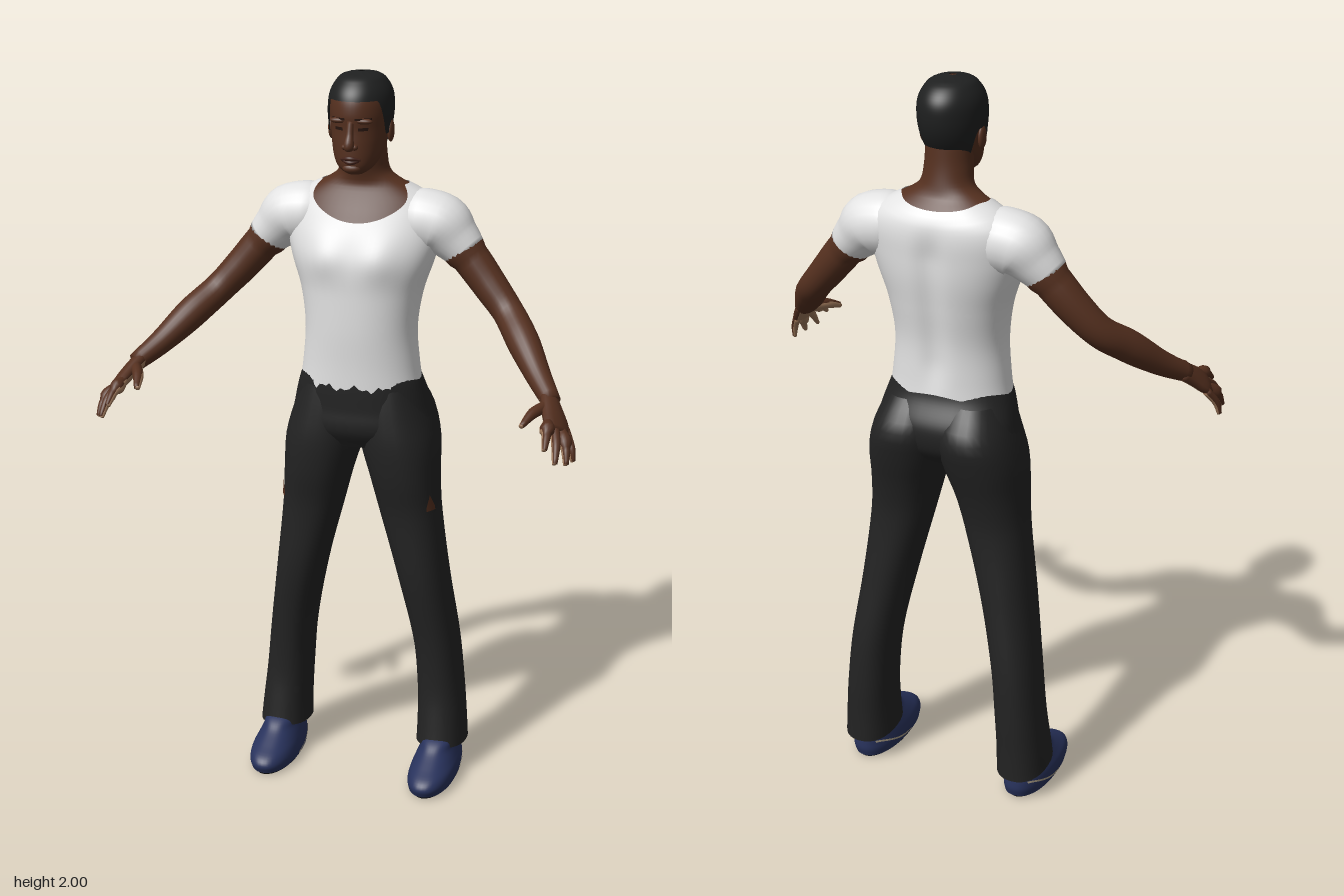
import * as THREE from 'three';

const mat = (name, color, side = THREE.FrontSide) => {
  const m = new THREE.MeshStandardMaterial({ color, side });
  m.name = name;
  return m;
};
const rad = THREE.MathUtils.degToRad;
const smooth = THREE.MathUtils.smoothstep;

// Smooth value of column k in rows sorted by height
function sample(rows, y, k) {
  const n = rows.length - 1;
  let i = 0;
  while (i < n - 1 && y > rows[i + 1][0]) i++;
  const slope = (j) => {
    const a = rows[Math.max(0, j - 1)], b = rows[Math.min(n, j + 1)];
    return (b[k] - a[k]) / (b[0] - a[0]);
  };
  const [p, q] = [rows[i], rows[i + 1]], h = q[0] - p[0];
  const t = Math.min(1, Math.max(0, (y - p[0]) / h)), t2 = t * t, t3 = t2 * t;
  return (2 * t3 - 3 * t2 + 1) * p[k] + (t3 - 2 * t2 + t) * h * slope(i)
    + (3 * t2 - 2 * t3) * q[k] + (t3 - t2) * h * slope(i + 1);
}

function grid(points, rowsN, cols, wrap) {
  const index = [], at = (i, j) => i * cols + (j % cols);
  for (let i = 0; i < rowsN - 1; i++)
    for (let j = 0; j < (wrap ? cols : cols - 1); j++)
      index.push(at(i, j), at(i, j + 1), at(i + 1, j + 1), at(i, j), at(i + 1, j + 1), at(i + 1, j));
  const g = new THREE.BufferGeometry();
  g.setAttribute('position', new THREE.Float32BufferAttribute(points, 3));
  g.setIndex(index);
  g.computeVertexNormals();
  return g;
}

// Upright body surface from rows [y, x0, x1, zFront, zBack]; angle 0 is the front, 90 the left side.
// bottom and top may vary with the angle; from/to cut out a patch.
function skin(rows, bottom, top, { off = 0, from = -180, to = 180, cols = 48, steps = 26, pow = 1, bump } = {}) {
  const pts = [], wrap = to - from === 360, val = (f, a) => (typeof f === 'function' ? f(a) : f);
  const bend = (v) => Math.sign(v) * Math.abs(v) ** pow;
  for (let i = 0; i <= steps; i++)
    for (let j = 0; j < cols; j++) {
      const a = from + (to - from) * j / (wrap ? cols : cols - 1);
      const y = THREE.MathUtils.lerp(val(bottom, a), val(top, a), i / steps);
      const [x0, x1, zf, zb] = [1, 2, 3, 4].map((k) => sample(rows, y, k));
      const x = (x0 + x1) / 2 + ((x1 - x0) / 2 + off) * bend(Math.sin(rad(a)));
      const z = (zf + zb) / 2 + ((zf - zb) / 2 + off) * bend(Math.cos(rad(a)));
      pts.push(x, y, z + (bump ? bump(x, y, a) : 0));
    }
  return grid(pts, steps + 1, cols, wrap);
}

// Limb through points [x, y, z, width, thickness]; up gives the thickness direction
function limb(path, up = [0, 1, 0.3], steps = 16, cols = 16) {
  const curve = new THREE.CatmullRomCurve3(path.map((p) => new THREE.Vector3(...p.slice(0, 3))));
  const size = new THREE.CatmullRomCurve3(path.map((p) => new THREE.Vector3(p[3], p[4] ?? p[3], 0)));
  const pts = [], U = new THREE.Vector3(...up);
  for (let i = -1; i <= steps + 1; i++) {
    const t = Math.min(1, Math.max(0, i / steps)), c = curve.getPoint(t), s = size.getPoint(t);
    if (i < 0 || i > steps) s.set(0, 0, 0);
    const T = curve.getTangent(t), S = U.clone().cross(T).normalize(), N = T.clone().cross(S);
    for (let j = 0; j < cols; j++) {
      const a = j / cols * Math.PI * 2;
      const p = c.clone().addScaledVector(S, Math.cos(a) * s.x).addScaledVector(N, Math.sin(a) * s.y);
      pts.push(p.x, p.y, p.z);
    }
  }
  return grid(pts, steps + 3, cols, true);
}

function ball(r, x, y, z, sx, sy, sz) {
  return new THREE.SphereGeometry(r, 16, 12).scale(sx, sy, sz).translate(x, y, z);
}

function mirrored(g) {
  const m = g.clone().applyMatrix4(new THREE.Matrix4().makeScale(-1, 1, 1));
  const a = m.index.array;
  for (let i = 0; i < a.length; i += 3) [a[i], a[i + 1]] = [a[i + 1], a[i]];
  return m;
}

const sym = (rows) => rows.map(([y, x, zf, zb]) => [y, -x, x, zf, zb]);

export function createModel() {
  const model = new THREE.Group();
  model.name = 'standingMan';
  const brown = mat('skin', 0x55301f), palm = mat('palmSkin', 0xa07a5c);
  const white = mat('shirtWhite', 0xe2e2e2, THREE.DoubleSide), black = mat('trouserBlack', 0x232323, THREE.DoubleSide);
  const hairMat = mat('hairBlack', 0x1f2020, THREE.DoubleSide), blue = mat('shoeBlue', 0x28325c);
  const soleMat = mat('soleBlack', 0x121212), beige = mat('trimBeige', 0xa89c86, THREE.DoubleSide);
  const dark = mat('featureDark', 0x26150f, THREE.DoubleSide), lip = mat('lipBrown', 0x432219, THREE.DoubleSide);
  const add = (name, g, m) => {
    const mesh = new THREE.Mesh(g, m);
    mesh.name = name;
    model.add(mesh);
  };
  const pair = (name, g, m) => {
    add(name + 'Left', g, m);
    add(name + 'Right', mirrored(g), m);
  };

  // Torso, neck and shirt share one profile
  const torso = sym([
    [1.14, 0.167, 0, -0.225], [1.22, 0.155, 0, -0.221], [1.32, 0.148, 0.003, -0.222], [1.42, 0.162, 0.002, -0.236],
    [1.5, 0.188, 0, -0.247], [1.56, 0.203, -0.018, -0.25], [1.62, 0.205, -0.046, -0.25], [1.66, 0.185, -0.066, -0.24],
    [1.69, 0.14, -0.08, -0.217], [1.705, 0.11, -0.085, -0.204], [1.73, 0.073, -0.08, -0.195],
    [1.78, 0.063, -0.065, -0.185], [1.84, 0.062, -0.06, -0.18]]);
  const muscle = (x, y, a) => {
    const front = Math.max(0, Math.cos(rad(a))), back = Math.max(0, -Math.cos(rad(a)));
    const pec = Math.exp(-(((Math.abs(x) - 0.08) / 0.05) ** 2) - ((y - 1.52) / 0.05) ** 2);
    const spine = Math.exp(-((x / 0.035) ** 2)) * smooth(y, 1.16, 1.28) * (1 - smooth(y, 1.55, 1.66));
    return front * pec * 0.012 + back * spine * 0.014;
  };
  const neckline = (a) => {
    const b = Math.abs(a);
    return 1.61 + 0.093 * smooth(b, 0, 75) - 0.02 * smooth(b, 110, 180);
  };
  const hem = (a) => {
    const b = Math.abs(a), ragged = b < 110 ? 0.012 * Math.sin(a * 0.41) * Math.sin(a * 0.17 + 1) : 0;
    return 1.166 + ragged + 0.02 * smooth(b, 120, 180);
  };
  add('neckAndChest', skin(torso, 1.56, 1.83, { bump: muscle }), brown);
  add('shirt', skin(torso, hem, neckline, { off: 0.005, cols: 96, steps: 36, bump: muscle, pow: 0.93 }), white);

  // Sleeves, arms and hands
  pair('sleeve', limb([[0.11, 1.605, -0.145, 0.07], [0.16, 1.605, -0.145, 0.085], [0.21, 1.595, -0.145, 0.083],
    [0.25, 1.56, -0.143, 0.066], [0.282, 1.528, -0.14, 0.054]], [0, 0, 1], 18, 24), white);
  pair('arm', limb([[0.23, 1.58, -0.143, 0.05], [0.29, 1.515, -0.139, 0.05], [0.35, 1.445, -0.125, 0.046],
    [0.405, 1.385, -0.1, 0.042], [0.455, 1.335, -0.04, 0.043], [0.52, 1.265, 0.045, 0.033],
    [0.568, 1.222, 0.11, 0.025]], [0.5, 0.7, 0], 30, 20), brown);
  const up = [0.7, 0.68, 0.14];
  const handParts = {
    hand: [[0.556, 1.233, 0.09, 0.025, 0.02], [0.575, 1.208, 0.13, 0.036, 0.019], [0.592, 1.184, 0.162, 0.043, 0.017],
      [0.602, 1.17, 0.183, 0.036, 0.011]],
    indexFinger: [[0.575, 1.195, 0.18, 0.011], [0.583, 1.178, 0.23, 0.011], [0.587, 1.15, 0.27, 0.006]],
    middleFinger: [[0.59, 1.182, 0.172, 0.012], [0.606, 1.15, 0.222, 0.011], [0.612, 1.112, 0.258, 0.006]],
    ringFinger: [[0.604, 1.172, 0.16, 0.011], [0.627, 1.135, 0.202, 0.011], [0.634, 1.1, 0.224, 0.006]],
    littleFinger: [[0.614, 1.165, 0.145, 0.01], [0.636, 1.125, 0.17, 0.009], [0.643, 1.093, 0.178, 0.005]],
    thumb: [[0.562, 1.218, 0.13, 0.016], [0.535, 1.21, 0.18, 0.014], [0.519, 1.192, 0.228, 0.007]],
  };
  for (const [name, path] of Object.entries(handParts)) {
    pair(name, limb(path, up, 10, 12), brown);
    const under = path.map(([x, y, z, w, t = w]) =>
      [x - up[0] * 0.004, y - up[1] * 0.004, z - up[2] * 0.004, w * 0.92, t * 0.92]);
    pair(name + 'Underside', limb(under, up, 10, 12), palm);
  }

  // Trousers: hips plus two flared legs
  const hips = sym([[0.99, 0.17, -0.03, -0.22], [1.04, 0.195, 0, -0.255], [1.1, 0.188, 0, -0.26],
    [1.17, 0.169, 0, -0.228], [1.21, 0.153, -0.003, -0.218]]);
  add('trouserHips', skin(hips, 0.99, 1.21, { pow: 0.85 }), black);
  const leg = [[0.075, 0.165, 0.307, -0.042, -0.243], [0.15, 0.166, 0.301, -0.055, -0.244], [0.25, 0.163, 0.291, -0.068, -0.248],
    [0.4, 0.15, 0.275, -0.062, -0.246], [0.6, 0.108, 0.247, -0.036, -0.228], [0.8, 0.054, 0.224, -0.026, -0.218],
    [0.9, 0.028, 0.218, -0.008, -0.236], [1, -0.002, 0.213, 0, -0.266], [1.08, -0.01, 0.192, -0.005, -0.278],
    [1.16, 0.01, 0.16, -0.015, -0.225]];
  pair('trouserLeg', skin(leg, (a) => 0.085 + 0.012 * Math.cos(rad(a)), 1.16, { pow: 0.88, steps: 40, cols: 32 }), black);
  pair('kneeTear', skin(leg, 0.815, (a) => 0.862 - Math.abs(a - 58) * 0.0035,
    { pow: 0.88, from: 47, to: 69, off: 0.003, cols: 7, steps: 4 }), brown);

  // Shoes with flat soles and a pale side trim
  const shoe = [[0.008, 0.172, 0.298, 0.085, -0.215], [0.03, 0.17, 0.302, 0.093, -0.222], [0.05, 0.174, 0.3, 0.078, -0.222],
    [0.068, 0.18, 0.293, 0.04, -0.22], [0.09, 0.188, 0.285, -0.005, -0.218], [0.12, 0.195, 0.28, -0.055, -0.214],
    [0.13, 0.23, 0.24, -0.12, -0.13]];
  pair('shoe', skin(shoe, 0.008, 0.13, { pow: 0.88 }), blue);
  pair('sole', new THREE.CylinderGeometry(1, 0.93, 0.016, 32).scale(0.063, 1, 0.153).translate(0.235, 0.008, -0.065), soleMat);
  const trim = (a) => 0.012 + 0.04 * smooth(Math.abs(a), 80, 150);
  for (const [side, from, to] of [['outer', 85, 150], ['inner', -150, -85]])
    pair(side + 'ShoeTrim', skin(shoe, trim, (a) => trim(a) + 0.006, { pow: 0.88, from, to, off: 0.002, cols: 12, steps: 2 }), beige);

  // Head and close-cropped hair
  const head = sym([[1.742, 0.022, -0.025, -0.075], [1.755, 0.042, -0.008, -0.1], [1.78, 0.059, -0.003, -0.135],
    [1.82, 0.07, -0.002, -0.172], [1.86, 0.076, -0.003, -0.195], [1.9, 0.079, 0, -0.205], [1.94, 0.075, -0.008, -0.203],
    [1.97, 0.06, -0.03, -0.183], [1.987, 0.04, -0.058, -0.153], [1.994, 0.003, -0.1, -0.106]]);
  add('head', skin(head, 1.742, 1.994, { steps: 36 }), brown);
  const hairline = (a) => {
    const b = Math.abs(a);
    return 1.93 - 0.09 * smooth(b, 48, 76) + 0.03 * smooth(b, 86, 94) - 0.085 * smooth(b, 100, 135);
  };
  add('hair', skin(head, hairline, 1.994, { off: 0.006, cols: 96, steps: 30, bump: () => 0 }).translate(0, 0.004, 0), hairMat);
  pair('ear', ball(1, 0.08, 1.848, -0.102, 0.009, 0.03, 0.018), brown);

  // Face
  add('nose', limb([[0, 1.882, -0.006, 0.009], [0, 1.85, 0.002, 0.01], [0, 1.822, 0.01, 0.014], [0, 1.812, 0.006, 0.01]], [0, 0, 1]), brown);
  pair('nostril', ball(1, 0.013, 1.818, 0.001, 0.009, 0.008, 0.01), brown);
  pair('browRidge', ball(1, 0.033, 1.884, -0.012, 0.024, 0.008, 0.012), brown);
  const patch = (y0, y1, from, to, off) => skin(head, y0, y1, { from, to, off, cols: 10, steps: 3 });
  pair('eyebrow', patch(1.886, 1.892, 9, 40, 0.004), dark);
  pair('eye', patch(1.859, 1.867, 15, 34, 0.002), dark);
  add('upperLip', limb([[-0.026, 1.784, -0.008, 0.003], [0, 1.788, 0.001, 0.006], [0.026, 1.784, -0.008, 0.003]], [0, 0, 1]), lip);
  add('lowerLip', limb([[-0.022, 1.781, -0.008, 0.003], [0, 1.777, -0.001, 0.006], [0.022, 1.781, -0.008, 0.003]], [0, 0, 1]), lip);
  add('chin', ball(1, 0, 1.76, -0.015, 0.025, 0.013, 0.014), brown);
  return model;
}
